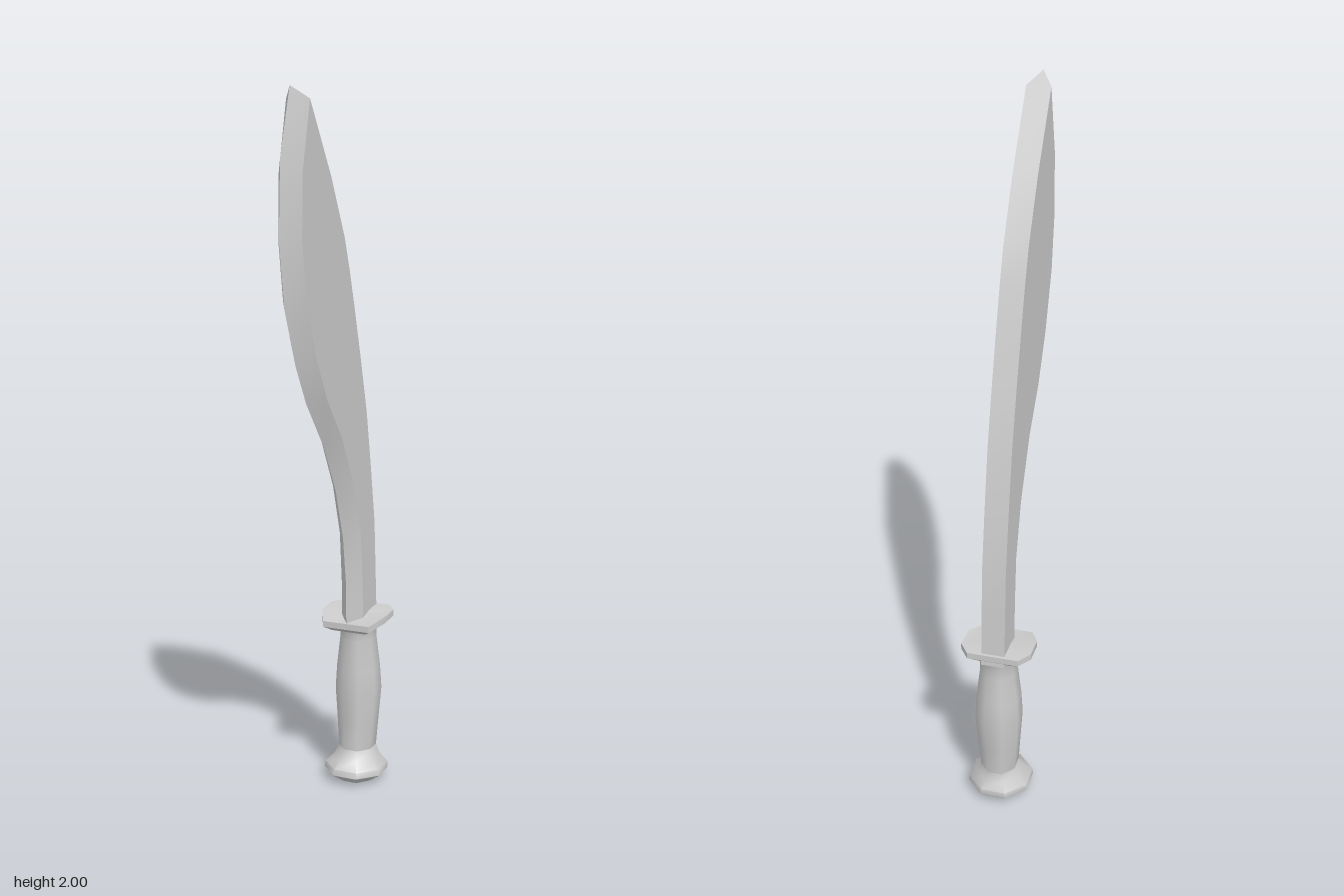
import * as THREE from 'three';
import { toCreasedNormals } from 'three/addons/utils/BufferGeometryUtils.js';

const material = new THREE.MeshStandardMaterial({ color: 0xcccccc });

// Skin a stack of rings (counter-clockwise seen from above, bottom to top) and cap both ends.
function loft(name, rings, crease) {
  const n = rings[0].length;
  const index = [];
  for (let r = 0; r < rings.length - 1; r++) {
    for (let i = 0; i < n; i++) {
      const a = r * n + i;
      const b = r * n + (i + 1) % n;
      index.push(a, b, b + n, a, b + n, a + n);
    }
  }
  const top = (rings.length - 1) * n;
  for (let i = 1; i < n - 1; i++) {
    index.push(0, i + 1, i, top, top + i, top + i + 1);
  }
  const geometry = new THREE.BufferGeometry();
  geometry.setAttribute('position', new THREE.Float32BufferAttribute(rings.flat(2), 3));
  geometry.setIndex(index);
  const mesh = new THREE.Mesh(toCreasedNormals(geometry, crease), material);
  mesh.name = name;
  return mesh;
}

// Octagon with flats facing the axes; hx and hz are half widths across the flats.
function octagon(y, z, hx, hz) {
  return Array.from({ length: 8 }, (_, i) => {
    const a = (i + 0.5) * Math.PI / 4;
    const k = 1 / Math.cos(Math.PI / 8);
    return [hx * k * Math.cos(a), y, z - hz * k * Math.sin(a)];
  });
}

function createBlade() {
  const half = 0.033;
  // Each row: spine z, y; bevel shoulder z, y; cutting edge z, y
  const rows = [
    [-0.287, 0.49, -0.18, 0.49, -0.132, 0.49],
    [-0.275, 0.65, -0.175, 0.62, -0.13, 0.62],
    [-0.265, 0.785, -0.16, 0.77, -0.106, 0.77],
    [-0.235, 0.95, -0.11, 0.92, -0.053, 0.92],
    [-0.2, 1.12, -0.02, 1.08, 0.03, 1.06],
    [-0.155, 1.275, 0.074, 1.19, 0.143, 1.195],
    [-0.106, 1.43, 0.145, 1.31, 0.206, 1.3],
    [-0.072, 1.53, 0.21, 1.47, 0.27, 1.45],
    [-0.037, 1.62, 0.235, 1.62, 0.3, 1.62],
    [0.053, 1.78, 0.23, 1.79, 0.29, 1.825],
    [0.185, 1.97, 0.185, 1.97, 0.233, 2.0],
  ];
  const rings = rows.map(([sz, sy, bz, by, ez, ey]) => [
    [half, sy, sz], [-half, sy, sz], [-half, by, bz], [0, ey, ez], [half, by, bz],
  ]);
  return loft('blade', rings, 0.4);
}

function createGuard() {
  // Long octagonal plate that dips towards the cutting edge
  const outline = [
    [0.1, -0.255], [0.072, -0.293], [-0.072, -0.293], [-0.1, -0.255],
    [-0.1, -0.185], [-0.072, -0.127], [0.072, -0.127], [0.1, -0.185],
  ];
  const dip = z => (z > -0.15 ? 0.02 : z > -0.2 ? 0.004 : 0);
  const plate = (y, s, d) => outline.map(([x, z]) => [x * s, y - dip(z) * d, -0.215 + (z + 0.215) * s]);
  return loft('guard', [plate(0.475, 0.5, 0), plate(0.49, 0.72, 0.8), plate(0.509, 1, 1), plate(0.527, 1, 1)], 0.5);
}

function createGrip() {
  // Each row: y, centre z, half width, half depth
  const rows = [
    [0.095, -0.222, 0.05, 0.058], [0.18, -0.225, 0.056, 0.06],
    [0.28, -0.228, 0.063, 0.066], [0.35, -0.227, 0.059, 0.062],
    [0.44, -0.225, 0.049, 0.055], [0.47, -0.224, 0.048, 0.055],
    [0.495, -0.222, 0.055, 0.062],
  ];
  return loft('grip', rows.map(r => octagon(...r)), 1.0);
}

function createPommel() {
  const rows = [
    [0, -0.216, 0.05, 0.055], [0.014, -0.214, 0.068, 0.072],
    [0.03, -0.212, 0.088, 0.09], [0.048, -0.213, 0.086, 0.088],
    [0.072, -0.218, 0.062, 0.067], [0.1, -0.222, 0.05, 0.058],
  ];
  return loft('pommel', rows.map(r => octagon(...r)), 0.9);
}

export function createModel() {
  const group = new THREE.Group();
  group.name = 'curvedSword';
  group.add(createBlade(), createGuard(), createGrip(), createPommel());
  return group;
}
